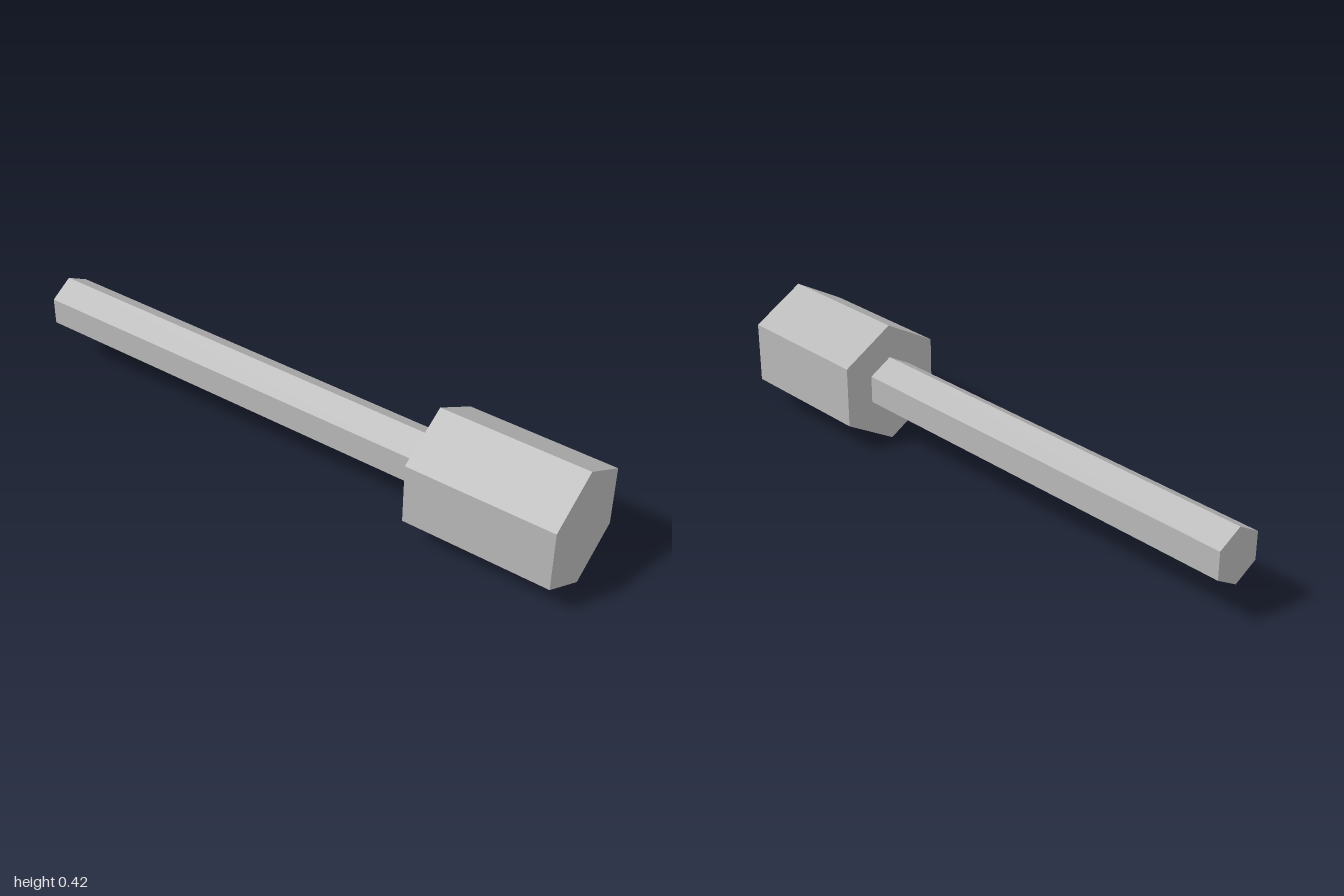
import * as THREE from 'three';

const RADIUS = 0.208; // head corner radius, also the height of the long axis

// Hexagonal bar along z, with a corner pointing straight up
function hexBar(name, radius, zBack, zFront, material) {
  const geometry = new THREE.CylinderGeometry(radius, radius, zFront - zBack, 6);
  geometry.rotateX(Math.PI / 2);
  const mesh = new THREE.Mesh(geometry, material);
  mesh.name = name;
  mesh.position.set(0, RADIUS, (zBack + zFront) / 2);
  return mesh;
}

export function createModel() {
  const steel = new THREE.MeshStandardMaterial({ color: 0xb8b8b8, flatShading: true });
  steel.name = 'light grey';

  const model = new THREE.Group();
  model.name = 'hexBolt';
  model.add(
    hexBar('head', RADIUS, 0.5, 1, steel),
    hexBar('shaft', 0.093, -1, 0.5, steel),
  );
  return model;
}
